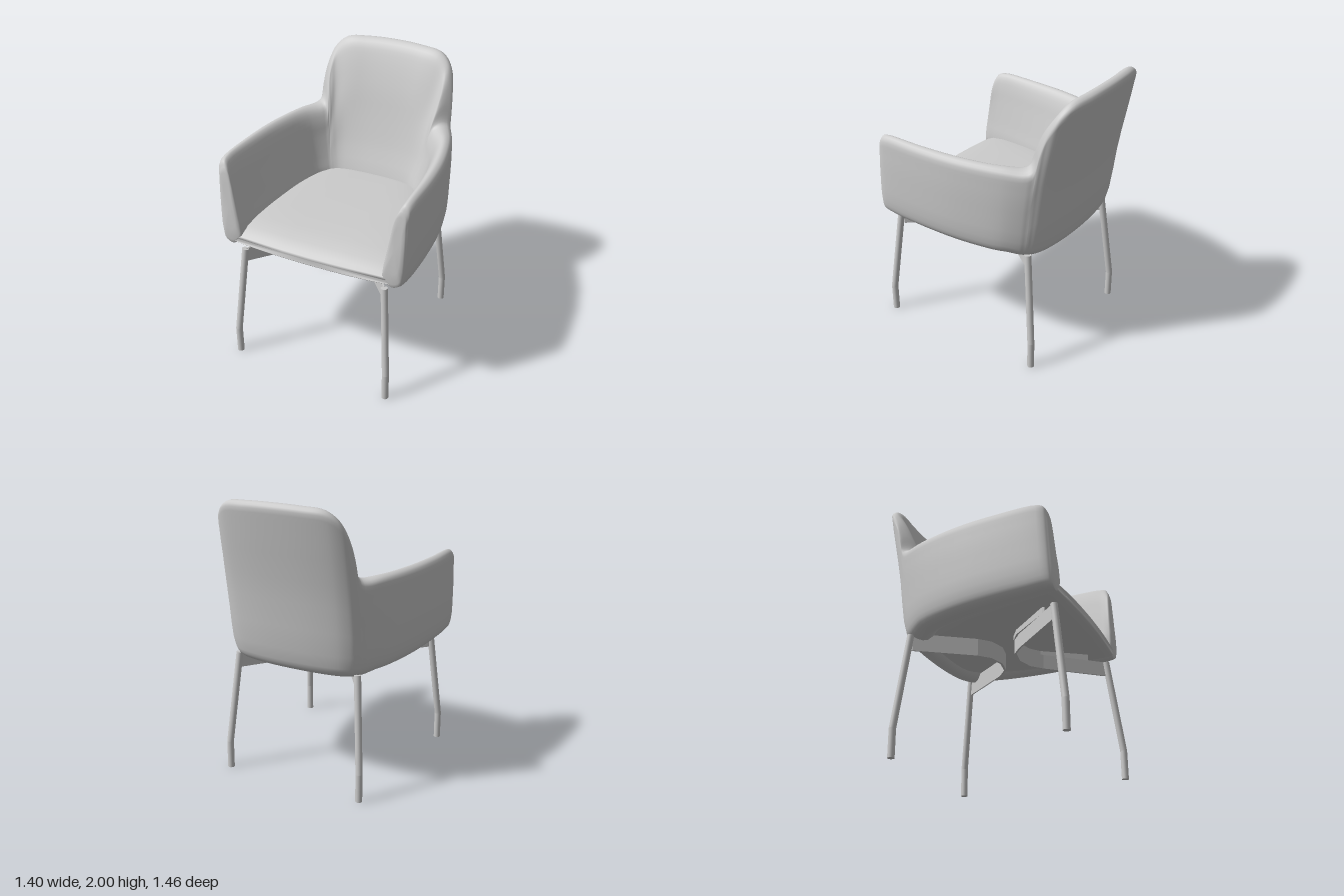
import * as THREE from 'three';

const mat = new THREE.MeshStandardMaterial({ color: 0xcccccc });

// piecewise-linear lookup through [key, value] pairs with rising keys
function table(pairs, k) {
  if (k <= pairs[0][0]) return pairs[0][1];
  for (let i = 1; i < pairs.length; i++) {
    const [a, va] = pairs[i - 1], [b, vb] = pairs[i];
    if (k <= b) return va + (vb - va) * (k - a) / (b - a);
  }
  return pairs[pairs.length - 1][1];
}

const centre = r => r.reduce((s, p) => s.add(p), new THREE.Vector3()).divideScalar(r.length);

// smooth solid through closed rings of equal length, closed by a centre point at both ends
function loft(rings) {
  const n = rings[0].length, pts = rings.flat(), index = [];
  for (let j = 0; j < rings.length - 1; j++) for (let i = 0; i < n; i++) {
    const k = (i + 1) % n, a = j * n + i, b = j * n + k;
    index.push(a, b, b + n, a, b + n, a + n);
  }
  const first = pts.length, last = (rings.length - 1) * n;
  pts.push(centre(rings[0]), centre(rings[rings.length - 1]));
  for (let i = 0; i < n; i++) {
    const k = (i + 1) % n;
    index.push(first, k, i, first + 1, last + i, last + k);
  }
  // turn the faces outward
  let volume = 0;
  const c = new THREE.Vector3();
  for (let i = 0; i < index.length; i += 3) {
    volume += pts[index[i]].dot(c.crossVectors(pts[index[i + 1]], pts[index[i + 2]]));
  }
  if (volume < 0) index.reverse();
  const g = new THREE.BufferGeometry().setFromPoints(pts);
  g.setIndex(index);
  g.computeVertexNormals();
  return g;
}

const { smoothstep, lerp } = THREE.MathUtils;
const underside = z => table([[-0.5, 0.84], [-0.35, 0.868], [0.5, 0.902], [0.7, 0.918]], z);

// arms and back: one padded wall swept in a U
function shellGeometry() {
  // outer x, top y, outer z, inner foot x, inner foot z
  const half = [
    [0.665, 1.47, 0.675, 0.525, 0.675], [0.68, 1.51, 0.655, 0.52, 0.65],
    [0.69, 1.528, 0.61, 0.515, 0.6], [0.695, 1.53, 0.3, 0.485, 0.3],
    [0.67, 1.528, 0, 0.44, 0], [0.6, 1.525, -0.3, 0.385, -0.2],
    [0.535, 1.525, -0.45, 0.335, -0.29], [0.515, 1.55, -0.48, 0.325, -0.302],
    [0.505, 1.68, -0.495, 0.315, -0.31], [0.49, 1.81, -0.512, 0.3, -0.32],
    [0.455, 1.915, -0.545, 0.275, -0.332], [0.38, 1.978, -0.578, 0.23, -0.342],
    [0.22, 1.995, -0.605, 0.13, -0.352], [0, 2, -0.615, 0, -0.355],
  ];
  const all = [...half, ...half.slice(0, -1).reverse().map(([x, y, z, u, v]) => [-x, y, z, -u, v])];
  const outer = new THREE.CatmullRomCurve3(all.map(p => new THREE.Vector3(p[0], p[1], p[2])));
  const inner = new THREE.CatmullRomCurve3(all.map(p => new THREE.Vector3(p[3], 0, p[4])));
  const steps = (all.length - 1) * 5, rings = [];
  for (let j = 0; j <= steps; j++) {
    const o = outer.getPoint(j / steps), f = inner.getPoint(j / steps);
    const top = o.y, low = underside(o.z);
    const back = smoothstep(-o.z, 0.2, 0.55), front = smoothstep(o.z, 0.4, 0.66);
    const wing = smoothstep(-o.z, 0.44, 0.49) * (1 - smoothstep(-o.z, 0.53, 0.6));
    // k = 0 on the outer face, 1 at the inner foot; back and arm fronts lean with height
    const at = (k, y) => new THREE.Vector3(
      o.x + (f.x - o.x) * k, y,
      o.z + (f.z - o.z) * k + (1 - k * 0.4) * back
        * table([[0.85, 0.065], [1.18, 0.03], [1.51, -0.018], [1.7, -0.05], [2, -0.125]], y)
        + front * table([[0.95, 0.005], [1.5, -0.02]], y));
    const face = y => 1 - table([[1.05, 0], [1.3, 0.3 - 0.03 * back], [1.53, 0.58 - 0.16 * back],
      [1.75, 0.53], [2, 0.67]], y) - wing * table([[1.5, 0], [1.7, 0.13]], y);
    const loop = [at(0.6, low), at(0.2, low + 0.022), at(0.06, low + 0.09),
      at(0, (low + top) / 2), at(0, top - 0.12), at(0.04, top - 0.025),
      at(face(top) * 0.55, top), at(face(top) * 0.92, top - 0.025)];
    for (let i = 0; i < 5; i++) {
      const y = lerp(top - 0.1, 1.05, i / 4);
      loop.push(at(face(y), y));
    }
    loop.push(at(1, 0.97));
    rings.push(new THREE.CatmullRomCurve3(loop, true).getPoints(44).slice(0, -1));
  }
  // round the front ends of the arms
  const shrink = (r, amount, dz) => {
    const c = centre(r);
    return r.map(p => p.clone().lerp(c, amount).setZ(p.z + dz));
  };
  const a = rings[0], b = rings[rings.length - 1];
  return loft([shrink(a, 0.4, 0.012), shrink(a, 0.1, 0.008), ...rings,
    shrink(b, 0.1, 0.008), shrink(b, 0.4, 0.012)]);
}

// seat: rounded sections from the back to the soft front edge
function seatGeometry() {
  const sections = [ // z, half width, bottom, top
    [-0.46, 0.24, 0.875, 1.04], [-0.42, 0.33, 0.866, 1.065], [-0.3, 0.43, 0.874, 1.075],
    [0, 0.56, 0.886, 1.072], [0.3, 0.605, 0.897, 1.065], [0.5, 0.62, 0.903, 1.055],
    [0.62, 0.625, 0.908, 1.035], [0.68, 0.62, 0.915, 1.005], [0.705, 0.612, 0.924, 0.985],
    [0.713, 0.6, 0.934, 0.97],
  ];
  const pow = (v, e) => Math.sign(v) * Math.abs(v) ** e;
  return loft(sections.map(([z, w, lo, hi]) => {
    const ring = [];
    for (let i = 0; i < 64; i++) {
      const a = i / 64 * Math.PI * 2, x = w * pow(Math.cos(a), 0.5);
      const bow = 0.03 * (x / 0.6) ** 2 * smoothstep(z, 0.4, 0.7);
      ring.push(new THREE.Vector3(x, (lo + hi) / 2 + (hi - lo) / 2 * pow(Math.sin(a), 0.4), z - bow));
    }
    return ring;
  }));
}

// thin flat bar joining a pair of legs, bent towards the middle of the seat
function barGeometry(x, z, apex, y, height) {
  const bend = apex + (z - apex) * 0.06, t = 0.016 * Math.sign(z);
  const line = [[-x, z], [-0.2, lerp(bend, z, 0.16)], [-0.12, bend], [0, apex],
    [0.12, bend], [0.2, lerp(bend, z, 0.16)], [x, z]];
  const outline = [...line, ...line.map(([a, b]) => [a, b + t]).reverse()];
  const shape = new THREE.Shape(outline.map(([a, b]) => new THREE.Vector2(a, -b)));
  return new THREE.ExtrudeGeometry(shape, { depth: height, bevelEnabled: false })
    .rotateX(-Math.PI / 2).translate(0, y, 0);
}

// bent round leg
function makeLeg(name, points, r = 0.024) {
  const leg = new THREE.Group();
  leg.name = name;
  const up = new THREE.Vector3(0, 1, 0);
  const p = points.map(q => new THREE.Vector3(...q));
  for (let i = 0; i < p.length - 1; i++) {
    const d = p[i + 1].clone().sub(p[i]);
    const rod = new THREE.Mesh(new THREE.CylinderGeometry(r, r, d.length(), 20), mat);
    rod.position.copy(p[i]).addScaledVector(d, 0.5);
    rod.quaternion.setFromUnitVectors(up, d.normalize());
    rod.name = i ? 'upperLeg' : 'foot';
    leg.add(rod);
  }
  const bend = new THREE.Mesh(new THREE.SphereGeometry(r, 20, 12), mat);
  bend.position.copy(p[1]);
  bend.name = 'legBend';
  leg.add(bend);
  return leg;
}

export function createModel() {
  const chair = new THREE.Group();
  chair.name = 'armchair';
  const add = (name, geometry) => {
    const m = new THREE.Mesh(geometry, mat);
    m.name = name;
    chair.add(m);
  };
  add('armsAndBack', shellGeometry());
  add('seat', seatGeometry());

  // under-frame
  add('frontBar', barGeometry(0.515, 0.62, 0.165, 0.757, 0.105));
  add('frontBarRaisedPart', barGeometry(0.425, 0.52, 0.165, 0.86, 0.045));
  add('backBar', barGeometry(0.46, -0.41, 0.05, 0.757, 0.125));

  // legs
  for (const [side, s] of [['left', 1], ['right', -1]]) {
    chair.add(makeLeg(side + 'FrontLeg',
      [[s * 0.575, 0, 0.713], [s * 0.575, 0.2, 0.713], [s * 0.52, 0.86, 0.638]]));
    chair.add(makeLeg(side + 'BackLeg',
      [[s * 0.522, 0, -0.497], [s * 0.522, 0.2, -0.497], [s * 0.465, 0.87, -0.425]]));
  }
  return chair;
}
